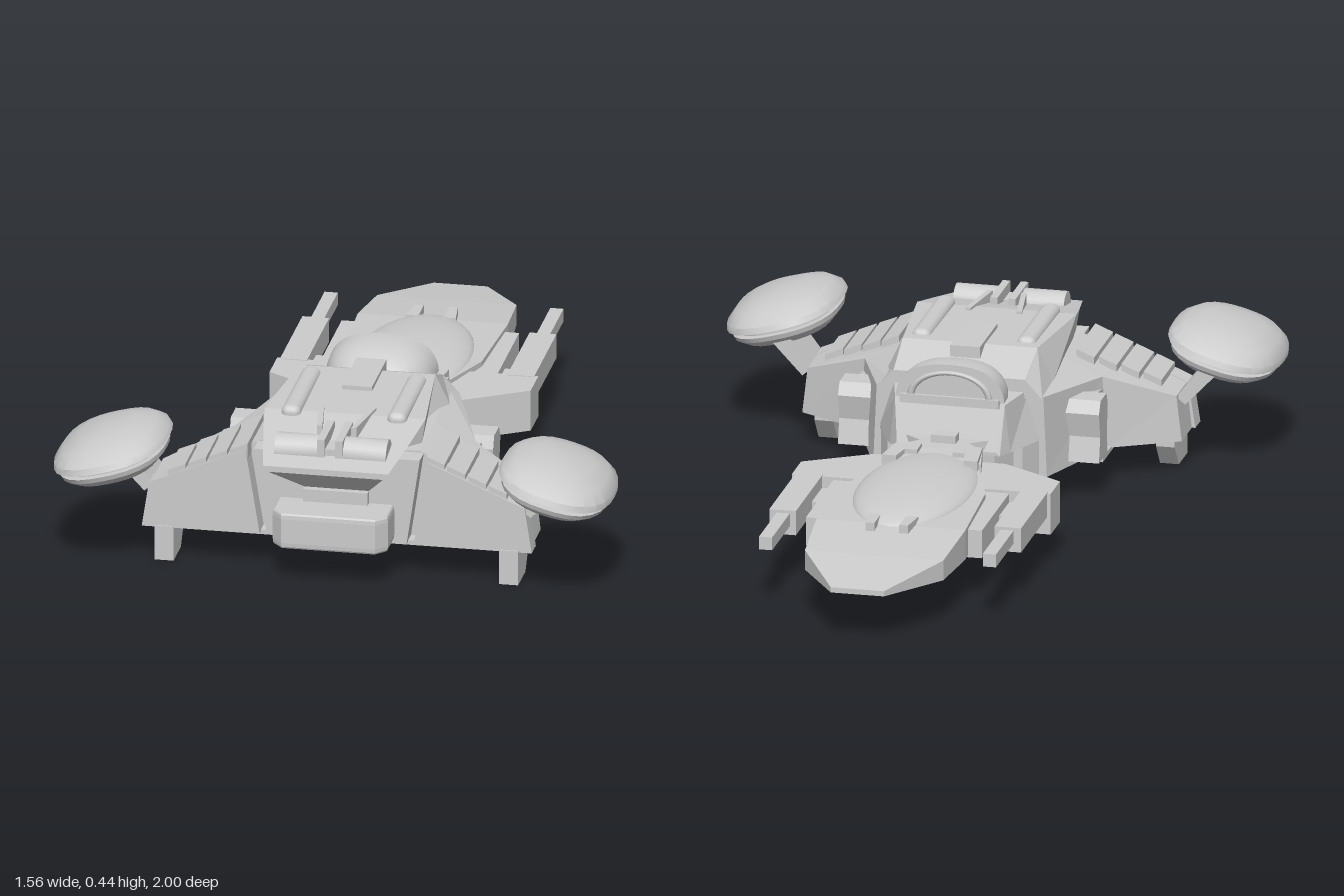
import * as THREE from 'three';
import { toCreasedNormals } from 'three/addons/utils/BufferGeometryUtils.js';
import { RoundedBoxGeometry } from 'three/addons/geometries/RoundedBoxGeometry.js';

const material = new THREE.MeshStandardMaterial({ color: 0xcccccc });

// Box from its limits on each axis
const box = (x0, x1, y0, y1, z0, z1) =>
  new THREE.BoxGeometry(x1 - x0, y1 - y0, z1 - z0)
    .translate((x0 + x1) / 2, (y0 + y1) / 2, (z0 + z1) / 2);

// Plan outline of [x, z] points raised from y0 to y1
function prism(plan, y0, y1) {
  const shape = new THREE.Shape(plan.map(([x, z]) => new THREE.Vector2(x, -z)));
  return new THREE.ExtrudeGeometry(shape, { depth: y1 - y0, bevelEnabled: false })
    .rotateX(-Math.PI / 2).translate(0, y0, 0);
}

// Side outline of [z, y] points given thickness from x0 to x1
function sidePrism(outline, x0, x1) {
  const shape = new THREE.Shape(outline.map(([z, y]) => new THREE.Vector2(-z, y)));
  return new THREE.ExtrudeGeometry(shape, { depth: x1 - x0, bevelEnabled: false })
    .rotateY(Math.PI / 2).translate(x0, 0, 0);
}

// Closed loft; sections [z, points] run from +z to -z, points anticlockwise seen from +z
function loft(sections) {
  const pos = [];
  const rings = sections.map(([z, pts]) => pts.map(([x, y]) => [x, y, z]));
  const tri = (...p) => p.forEach((v) => pos.push(...v));
  const n = rings[0].length;
  for (let k = 0; k < rings.length - 1; k++) {
    const a = rings[k], b = rings[k + 1];
    for (let i = 0; i < n; i++) {
      const j = (i + 1) % n;
      tri(a[i], b[i], b[j]);
      tri(a[i], b[j], a[j]);
    }
  }
  const first = rings[0], last = rings[rings.length - 1];
  for (let i = 1; i < n - 1; i++) {
    tri(first[0], first[i], first[i + 1]);
    tri(last[0], last[i + 1], last[i]);
  }
  const g = new THREE.BufferGeometry();
  g.setAttribute('position', new THREE.Float32BufferAttribute(pos, 3));
  g.computeVertexNormals();
  return g;
}

// Loft symmetric about x = 0, given right half sections from bottom to top
const symLoft = (sections) => loft(sections.map(([z, half]) =>
  [z, [...half, ...half.slice().reverse().map(([x, y]) => [-x, y])]]));

// Mirror geometry across x = 0, keeping faces outward
function mirrored(source) {
  const g = source.index ? source.toNonIndexed() : source.clone();
  for (const name of ['position', 'normal']) {
    const a = g.attributes[name].array;
    for (let i = 0; i < a.length; i += 9) {
      for (let k = 0; k < 3; k++) {
        const t = a[i + k]; a[i + k] = a[i + 6 + k]; a[i + 6 + k] = t;
      }
      for (let k = 0; k < 9; k += 3) a[i + k] *= -1;
    }
  }
  return g;
}

// Tilted oval engine pod with a groove round its rim
function podGeometry() {
  const profile = [[0, -0.065], [0.07, -0.06], [0.12, -0.045], [0.148, -0.022], [0.152, -0.008],
    [0.138, -0.006], [0.138, 0.006], [0.163, 0.008], [0.158, 0.025], [0.13, 0.05],
    [0.08, 0.068], [0, 0.076]].map(([x, y]) => new THREE.Vector2(x, y));
  const g = new THREE.LatheGeometry(profile, 28);
  const p = g.attributes.position;
  for (let i = 0; i < p.count; i++) {
    const x = p.getX(i), z = p.getZ(i), angle = Math.atan2(z, x);
    const square = (Math.abs(Math.cos(angle)) ** 2.5 + Math.abs(Math.sin(angle)) ** 2.5) ** -0.4;
    p.setX(i, x * square);
    p.setZ(i, z * square * 1.3);
  }
  return toCreasedNormals(g, 0.6).rotateZ(-0.27).translate(0.62, 0.32, 0.79);
}

// Half dome with a flat upright face towards -z
function lookoutGeometry() {
  const g = new THREE.SphereGeometry(1, 32, 14, 0, Math.PI * 2, 0, Math.PI / 2);
  const p = g.attributes.position;
  for (let i = 0; i < p.count; i++) {
    const x = p.getX(i);
    p.setXYZ(i, Math.sign(x) * Math.abs(x) ** 0.75 * 0.153,
      0.34 + p.getY(i) * 0.1, 0.1 + Math.max(0, p.getZ(i)) ** 0.75 * 0.175);
  }
  return toCreasedNormals(g, 0.7);
}

export function createModel() {
  const model = new THREE.Group();
  model.name = 'spacecraft';
  const add = (name, geometry) => {
    const mesh = new THREE.Mesh(geometry, material);
    mesh.name = name;
    mesh.position.x = -0.01;
    model.add(mesh);
  };
  const pair = (name, geometry) => {
    add(name + 'Left', geometry);
    add(name + 'Right', mirrored(geometry));
  };

  // Wing hull, with slits splitting its front face
  const hull = (w, e, y) => [[w, 0.095], [e, y], [0.22, 0.35]];
  add('wingHull', symLoft([[0.72, hull(0.535, 0.52, 0.225)], [0.6, hull(0.535, 0.52, 0.225)],
    [0.5, hull(0.35, 0.335, 0.3)], [0.22, [[0.245, 0.095], [0.235, 0.325], [0.2, 0.35]]]]));
  const cap = [[0.215, 0.095], [0.545, 0.095], [0.525, 0.225], [0.255, 0.34]];
  pair('wingFront', loft([[0.78, cap], [0.72, cap]]));
  const middle = [[0.195, 0.095], [0.232, 0.345]];
  add('hullFrontMiddle', symLoft([[0.78, middle], [0.72, middle]]));
  add('bellyPlate', box(-0.36, 0.36, 0.087, 0.1, 0.4, 0.76));
  add('hullRearBase', symLoft([[0.25, [[0.24, 0.095], [0.24, 0.21]]],
    [0.16, [[0.19, 0.095], [0.19, 0.21]]]]));
  add('hullRearSlope', symLoft([[0.24, [[0.235, 0.2], [0.19, 0.34]]],
    [0.1, [[0.17, 0.2], [0.155, 0.335]]], [0.06, [[0.15, 0.2], [0.14, 0.21]]]]));

  // Stepped panels on the wing slopes
  for (let i = 0; i < 4; i++) {
    const x0 = 0.25 + i * 0.058, x1 = x0 + 0.05;
    const y = (x) => 0.345 - (x - 0.24) * 0.42;
    const s = [[x0, y(x0) - 0.03], [x1, y(x1) - 0.03], [x1, y(x1) + 0.016], [x0, y(x0) + 0.016]];
    pair('wingPanel' + i, loft([[0.775, s], [0.55 + i * 0.022, s]]));
  }

  // Upper fuselage, overhanging at the front
  add('upperFuselage', symLoft([
    [0.94, [[0.16, 0.345], [0.175, 0.362]]], [0.78, [[0.09, 0.245], [0.205, 0.395]]],
    [0.66, [[0.2, 0.245], [0.225, 0.42]]], [0.34, [[0.235, 0.33], [0.19, 0.425]]],
    [0.21, [[0.235, 0.32], [0.185, 0.375]]]]));
  pair('roofRod', new RoundedBoxGeometry(0.054, 0.045, 0.32, 3, 0.02).translate(0.148, 0.417, 0.53));
  add('roofConsole', box(-0.042, 0.042, 0.38, 0.435, 0.28, 0.49));
  pair('roofRail', prism([[0.04, 0.78], [0.055, 0.78], [0.08, 0.62], [0.065, 0.62]], 0.38, 0.428));
  const drum = new THREE.CylinderGeometry(0.044, 0.044, 0.12, 20).rotateZ(Math.PI / 2);
  pair('rearDrum', toCreasedNormals(drum, 0.6).translate(0.096, 0.377, 0.835));
  pair('drumBracket', box(0.015, 0.036, 0.345, 0.425, 0.73, 0.88));
  add('drumAxle', box(-0.04, 0.04, 0.36, 0.395, 0.8, 0.87));

  // Bumper with chamfered corners
  const bumper = new THREE.Shape([[-0.157, 0.76], [-0.157, 0.87], [-0.13, 0.9], [0.13, 0.9],
    [0.157, 0.87], [0.157, 0.76]].map(([x, z]) => new THREE.Vector2(x, -z)));
  add('bumperBody', new THREE.ExtrudeGeometry(bumper, { depth: 0.07, bevelEnabled: true,
    bevelSize: 0.004, bevelThickness: 0.016, bevelSegments: 2 })
    .rotateX(-Math.PI / 2).translate(0, 0.123, 0));
  add('bumperStep', box(-0.09, 0.09, 0.2, 0.245, 0.76, 0.8));

  // Pods and their struts
  pair('enginePod', podGeometry());
  const strut = [[0.515, 0.215], [0.54, 0.195], [0.625, 0.285], [0.575, 0.295]];
  pair('podStrut', loft([[0.77, strut], [0.62, strut]]));

  // Landing legs
  pair('landingLeg', sidePrism([[0.785, 0.1], [0.785, 0], [0.68, 0], [0.63, 0.065], [0.63, 0.1]],
    0.455, 0.508));

  // Waisted side intakes
  pair('sideIntake', sidePrism([[0.42, 0.11], [0.32, 0.11], [0.335, 0.18], [0.32, 0.25],
    [0.34, 0.285], [0.41, 0.285], [0.425, 0.25], [0.415, 0.18]], 0.23, 0.368));
  pair('intakeFairing', sidePrism([[0.53, 0.11], [0.43, 0.12], [0.415, 0.25], [0.44, 0.275],
    [0.53, 0.26], [0.515, 0.18]], 0.23, 0.337));

  // Lookout dome with an arched frame
  add('lookoutDome', lookoutGeometry());
  add('lookoutArch', new THREE.TorusGeometry(0.11, 0.01, 6, 24, Math.PI)
    .scale(1, 0.65, 1).translate(0, 0.345, 0.1));
  add('lookoutSill', box(-0.14, 0.14, 0.325, 0.35, 0.09, 0.2));

  // Neck, pinched in the middle
  const neck = (w, y) => [[w, 0.13], [w, y]];
  add('neck', symLoft([[0.17, neck(0.17, 0.24)], [0.08, neck(0.13, 0.24)], [0.035, neck(0.07, 0.24)],
    [-0.02, neck(0.12, 0.24)], [-0.12, neck(0.14, 0.235)]]));
  add('neckCollar', box(-0.035, 0.035, 0.22, 0.262, 0.02, 0.06));
  pair('neckClaw', prism([[0.05, -0.02], [0.12, -0.02], [0.135, -0.14], [0.095, -0.14],
    [0.085, -0.08], [0.05, -0.08]], 0.2, 0.25));

  // Head plate, tapering to the nose
  const plate = (w, y0, y1) => [[w, y0], [w, y1]];
  add('headPlate', symLoft([[-0.02, plate(0.1, 0.13, 0.225)], [-0.3, plate(0.195, 0.13, 0.215)],
    [-0.6, plate(0.21, 0.125, 0.21)], [-0.8, plate(0.195, 0.13, 0.187)],
    [-1, plate(0.075, 0.14, 0.155)]]));
  const canopy = new THREE.SphereGeometry(1, 32, 12, 0, Math.PI * 2, 0, Math.PI / 2);
  add('headCanopy', canopy.scale(0.165, 0.05, 0.32).translate(0, 0.205, -0.3));
  pair('canopyFork', prism([[0.035, -0.57], [0.07, -0.57], [0.06, -0.65], [0.035, -0.65]], 0.19, 0.228));
  pair('headSideBlock', box(0.15, 0.248, 0.12, 0.2, -0.565, -0.22));
  add('headUnderSlab', box(-0.15, 0.15, 0.118, 0.14, -0.645, -0.24));
  pair('headUnderRib', box(0.045, 0.075, 0.11, 0.13, -0.55, -0.3));

  // Shoulders and forward guns
  pair('shoulder', prism([[0.12, -0.02], [0.185, -0.02], [0.365, -0.13], [0.365, -0.24],
    [0.12, -0.24]], 0.09, 0.208));
  pair('gunBody', box(0.28, 0.355, 0.14, 0.21, -0.55, -0.23));
  pair('gunBarrel', box(0.297, 0.334, 0.165, 0.202, -0.76, -0.54));
  pair('gunMount', box(0.2, 0.3, 0.135, 0.175, -0.36, -0.23));
  return model;
}
